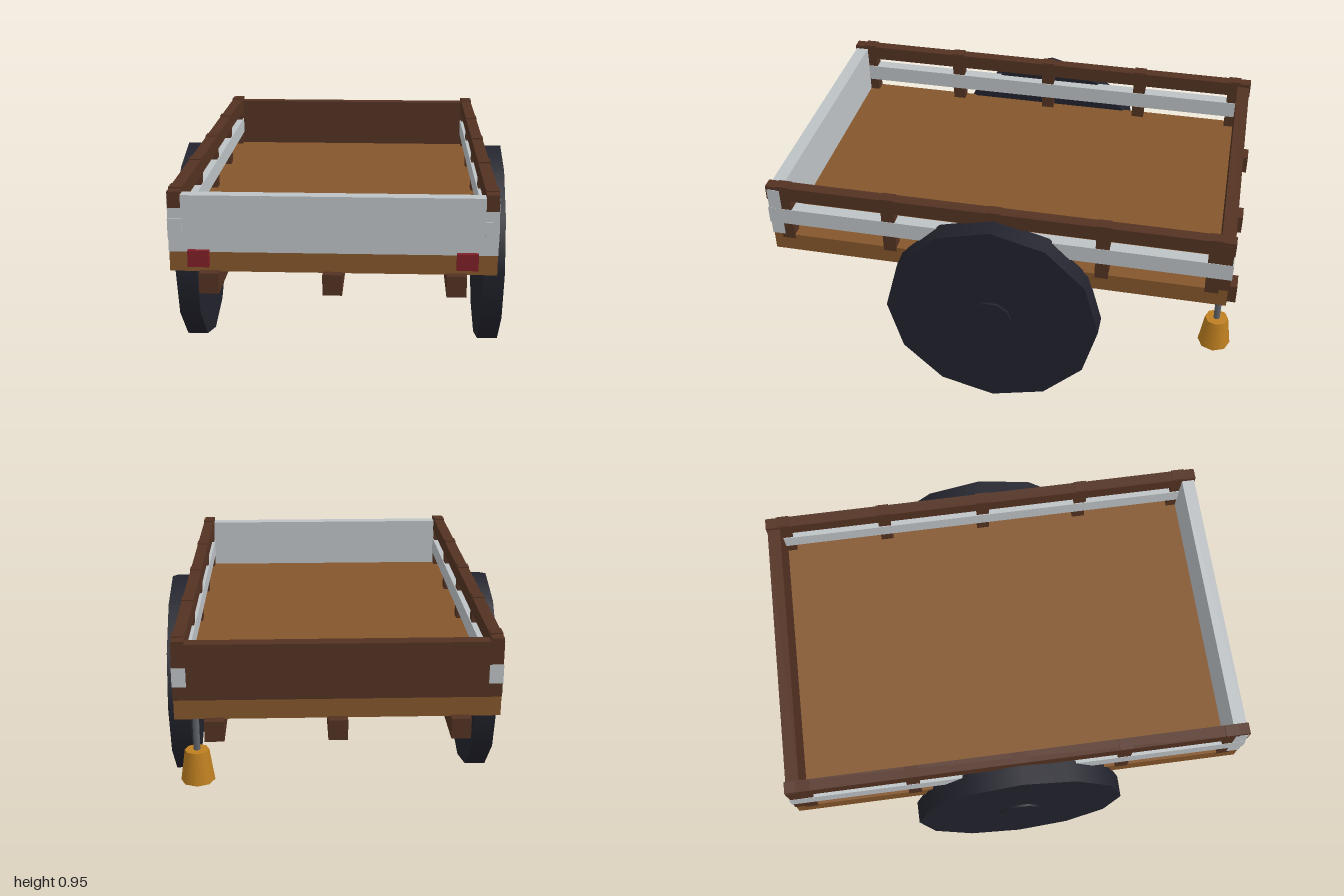
import * as THREE from 'three';

const mat = (name, color) => {
  const m = new THREE.MeshStandardMaterial({ color });
  m.name = name;
  return m;
};

export function createModel() {
  const cart = new THREE.Group();
  cart.name = 'cart';
  const wood = mat('plank wood', 0x84562b);
  const darkWood = mat('dark wood', 0x533222);
  const metal = mat('pale metal', 0xbdc2c5);
  const rubber = mat('rubber', 0x22222d);
  const steel = mat('steel', 0x606469);
  const red = mat('red', 0x7f1f27);
  const amber = mat('amber', 0xbe7f20);

  const add = (name, geometry, material, x, y, z) => {
    const mesh = new THREE.Mesh(geometry, material);
    mesh.name = name;
    mesh.position.set(x, y, z);
    cart.add(mesh);
    return mesh;
  };
  // box from its lower and upper corner
  const box = (name, material, x0, x1, y0, y1, z0, z1) =>
    add(name, new THREE.BoxGeometry(x1 - x0, y1 - y0, z1 - z0), material,
      (x0 + x1) / 2, (y0 + y1) / 2, (z0 + z1) / 2);
  // cylinder lying along x
  const disc = (name, material, r, width, x, sides) => {
    const mesh = add(name, new THREE.CylinderGeometry(r, r, width, sides), material, x, 0.46, 0);
    mesh.rotation.z = Math.PI / 2;
  };

  // bed and end boards
  box('bed', wood, -0.63, 0.63, 0.63, 0.71, -0.96, 0.96);
  box('frontBoard', metal, -0.631, 0.631, 0.71, 0.935, 0.91, 0.965);
  box('backBoard', darkWood, -0.631, 0.631, 0.71, 0.935, -0.965, -0.91);

  // runners under the bed
  for (const x of [-0.475, 0, 0.475])
    box('runner', darkWood, x - 0.038, x + 0.038, 0.552, 0.635, -1, 1);

  // side fences, wheels and lamps, mirrored
  for (const s of [-1, 1]) {
    const side = (name, material, inner, outer, y0, y1, z0, z1) =>
      box(name, material, Math.min(s * inner, s * outer), Math.max(s * inner, s * outer), y0, y1, z0, z1);
    side('topRail', darkWood, 0.58, 0.629, 0.885, 0.95, -0.97, 0.97);
    side('slat', metal, 0.578, 0.632, 0.767, 0.842, -0.97, 0.97);
    for (const z of [-0.895, -0.4475, 0, 0.4475, 0.895])
      side('post', darkWood, 0.582, 0.6305, 0.69, 0.955, z - 0.028, z + 0.028);
    side('lamp', red, 0.474, 0.556, 0.655, 0.72, 0.955, 0.987);
    disc('wheel', rubber, 0.456, 0.092, s * 0.666, 12);
    disc('hub', rubber, 0.09, 0.11, s * 0.666, 10);
  }
  disc('axle', steel, 0.032, 1.24, 0, 12);

  // hanging lantern at the back
  add('lanternRod', new THREE.CylinderGeometry(0.013, 0.013, 0.15, 8), steel, 0.55, 0.565, -0.932);
  add('lantern', new THREE.CylinderGeometry(0.048, 0.067, 0.13, 8), amber, 0.55, 0.425, -0.932);

  return cart;
}
